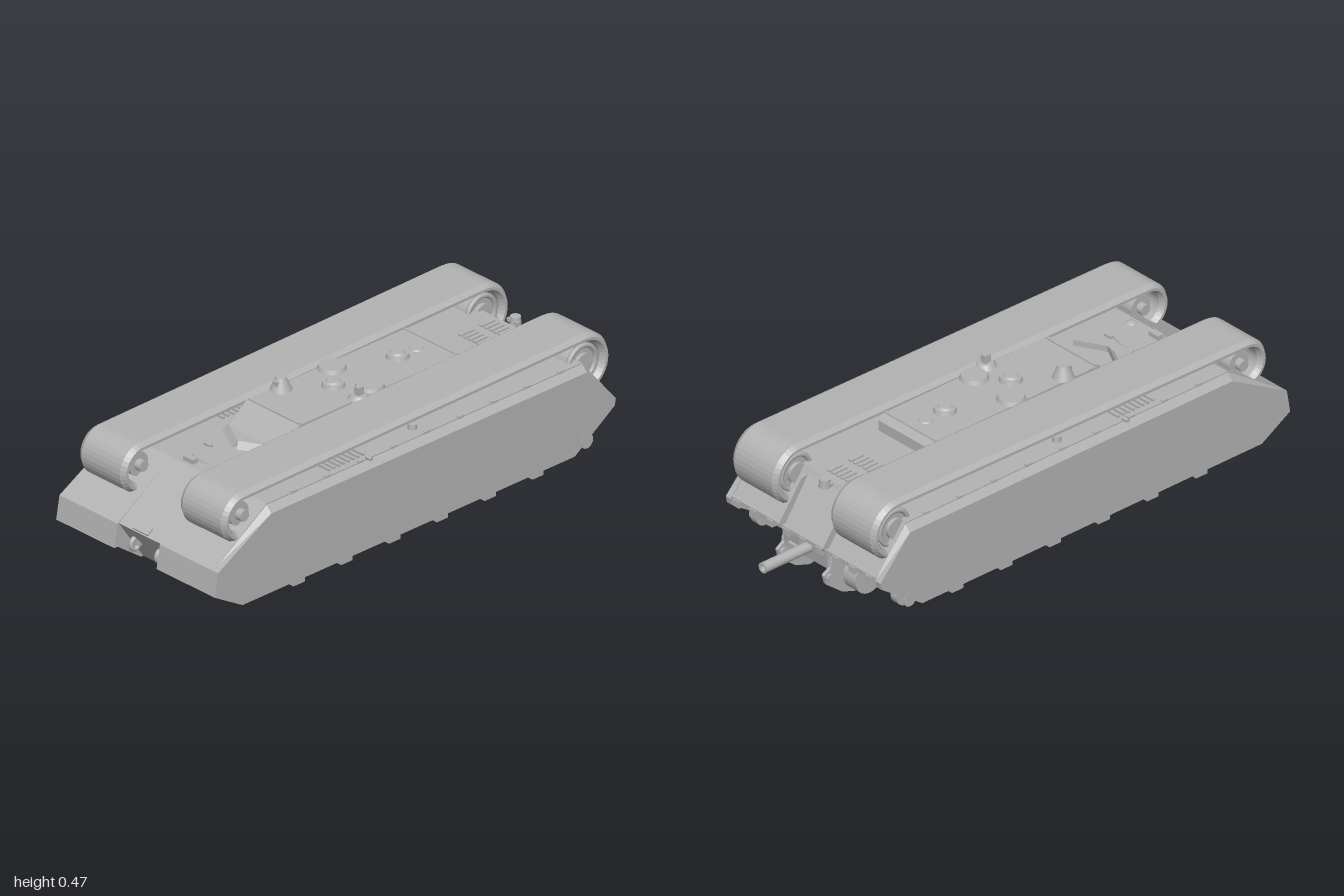
import * as THREE from 'three';

export function createModel() {
  const model = new THREE.Group();
  const grey = new THREE.MeshStandardMaterial({ color: 0xb2b2b2 });
  grey.name = 'primer grey';

  function add(geo, name, x = 0, y = 0, z = 0) {
    const m = new THREE.Mesh(geo, grey);
    m.name = name;
    m.position.set(x, y, z);
    model.add(m);
    return m;
  }
  const box = (name, w, h, d, x, y, z) => add(new THREE.BoxGeometry(w, h, d), name, x, y, z);
  const disc = (name, rTop, rBase, h, x, y, z, n = 28) =>
    add(new THREE.CylinderGeometry(rTop, rBase, h, n), name, x, y, z);
  const axle = (name, r, w, x, y, z, n = 32) =>
    add(new THREE.CylinderGeometry(r, r, w, n).rotateZ(Math.PI / 2), name, x, y, z);

  // Side profile given as [z, y] points, extruded across x from x0 to x1
  function prismGeo(profile, x0, x1) {
    const shape = new THREE.Shape(profile.map(([z, y]) => new THREE.Vector2(z, y)));
    return new THREE.ExtrudeGeometry(shape, { depth: x1 - x0, bevelEnabled: false })
      .rotateY(-Math.PI / 2).translate(x1, 0, 0);
  }
  const prism = (name, profile, x0, x1) => add(prismGeo(profile, x0, x1), name);
  const sided = (s, a, b) => (s > 0 ? [a, b] : [-b, -a]);

  // Central hull tub
  prism('centralHull', [[0.98, 0.2], [0.745, 0.36], [-0.675, 0.36], [-0.8, 0.19],
    [-0.79, 0.12], [-0.66, 0.04], [0.87, 0.04]], -0.105, 0.105);

  // Raised roof between the tracks, with sloped front
  prism('superstructure', [[0.46, 0.36], [0.38, 0.428], [-0.34, 0.428], [-0.36, 0.41],
    [-0.36, 0.36]], -0.125, 0.125);
  prism('engineDeck', [[-0.36, 0.355], [-0.36, 0.372], [-0.68, 0.368], [-0.69, 0.35]], -0.125, 0.125);
  box('roofSeam', 0.25, 0.006, 0.008, 0, 0.429, -0.33);
  box('roofFrontLip', 0.24, 0.006, 0.01, 0, 0.43, 0.375);

  for (const s of [1, -1]) {
    // Sponson above the track tunnel, including the nose overhang
    prism('sponson', [[1, 0.115], [0.985, 0.2], [0.745, 0.36], [-0.675, 0.36], [-0.8, 0.19],
      [-0.78, 0.165], [0.9, 0.19], [0.95, 0.115]], ...sided(s, 0.1, 0.352));

    // Armour skirt with a chamfered upper edge
    const skirt = prismGeo([[1, 0.115], [0.985, 0.2], [0.745, 0.358], [-0.675, 0.358],
      [-0.805, 0.19], [-0.8, 0.165], [-0.62, 0.042], [0.875, 0.042]], ...sided(s, 0.35, 0.375));
    const p = skirt.attributes.position;
    for (let i = 0; i < p.count; i++)
      if (Math.abs(p.getX(i)) > 0.37 && p.getY(i) > 0.3) p.setY(i, p.getY(i) - 0.025);
    skirt.computeVertexNormals();
    add(skirt, 'sideSkirt');
    axle('skirtPortCover', 0.027, 0.004, s * 0.374, 0.08, -0.675);

    // Exposed upper track run wrapping both end wheels
    const front = { z: 0.84, y: 0.34, r: 0.09 }, rear = { z: -0.7, y: 0.34, r: 0.11 };
    const t = 0.034;
    const path = (d) => {
      const pts = [];
      for (let i = 0; i <= 16; i++) {
        const a = -Math.PI / 2 + (Math.PI * i) / 16;
        pts.push([front.z + (front.r - d) * Math.cos(a), front.y + (front.r - d) * Math.sin(a)]);
      }
      for (let i = 0; i <= 20; i++) {
        const a = Math.PI / 2 + (Math.PI * 1.1 * i) / 20;
        pts.push([rear.z + (rear.r - d) * Math.cos(a), rear.y + (rear.r - d) * Math.sin(a)]);
      }
      return pts;
    };
    const beltShape = new THREE.Shape([...path(0), ...path(t).reverse()]
      .map(([z, y]) => new THREE.Vector2(z, y)));
    const belt = new THREE.ExtrudeGeometry(beltShape, {
      depth: 0.182, bevelEnabled: true, bevelSize: 0.012, bevelOffset: -0.012,
      bevelThickness: 0.018, bevelSegments: 1,
    }).rotateY(-Math.PI / 2).translate(0.091, 0, 0);
    add(belt, 'trackBelt', s * 0.238);

    // Drive sprocket and idler inside the belt
    axle('sprocketDrum', 0.066, 0.17, s * 0.238, rear.y, rear.z);
    axle('idlerDrum', 0.042, 0.15, s * 0.238, front.y, front.z - 0.01);
    for (const e of [-1, 1]) {
      const x = s * 0.238 + e * 0.085;
      add(new THREE.TorusGeometry(0.062, 0.009, 8, 32).rotateY(Math.PI / 2), 'sprocketRim', x, rear.y, rear.z);
      axle('sprocketHub', 0.036, 0.02, x + e * 0.004, rear.y, rear.z);
      axle('idlerHub', 0.02, 0.03, x, front.y, front.z - 0.01, 20);
    }

    // Suspension cross members under the sponson
    for (let i = 0; i < 6; i++) {
      const z = 0.615 - i * 0.215;
      box('suspensionBeam', 0.25, 0.022, 0.05, s * 0.23, 0.094, z);
      axle('suspensionTube', 0.013, 0.25, s * 0.23, 0.09, z + 0.03, 16);
      for (const x of [0.175, 0.31]) box('beamFin', 0.006, 0.07, 0.04, s * x, 0.054, z);
      const gusset = new THREE.Shape([[0.285, 0.045], [0.352, 0.07], [0.352, 0.03], [0.3, 0.036]]
        .map(([x, y]) => new THREE.Vector2(s * x, y)));
      add(new THREE.ExtrudeGeometry(gusset, { depth: 0.03, bevelEnabled: false }), 'beamGusset', 0, 0, z - 0.015);
      box('skirtFoot', 0.02, 0.03, 0.05, s * 0.36, 0.038, z);
    }
    box('noseStep', 0.03, 0.06, 0.06, s * 0.34, 0.08, 0.86);
    axle('noseCrossbar', 0.012, 0.23, s * 0.232, 0.095, 0.9, 16);

    // Final drive housing and its bracket at the rear
    axle('finalDrive', 0.062, 0.075, s * 0.143, 0.08, -0.675);
    axle('finalDriveCap', 0.04, 0.03, s * 0.34, 0.09, -0.675);
    prism('driveBracket', [[-0.57, 0.045], [-0.63, 0.008], [-0.68, 0], [-0.74, 0.02], [-0.81, 0.075],
      [-0.82, 0.11], [-0.79, 0.13], [-0.78, 0.18], [-0.57, 0.18]], ...sided(s, 0.106, 0.119));
    axle('bracketPin', 0.014, 0.03, s * 0.112, 0.098, -0.797, 16);
    prism('noseCheek', [[0.97, 0.19], [0.985, 0.115], [0.88, 0.04], [0.8, 0.04], [0.8, 0.19]],
      ...sided(s, 0.1, 0.108));

    // Tow hooks on the lower nose
    const hook = add(new THREE.TorusGeometry(0.018, 0.007, 10, 20).rotateY(Math.PI / 2), 'towHook', s * 0.06, 0.128, 0.945);
    hook.scale.set(1.3, 1.15, 1);
    box('towHookBase', 0.034, 0.036, 0.02, s * 0.06, 0.14, 0.932);

    // Rear ribs, side pegs and deck edge details
    prism('rearRib', [[-0.69, 0.35], [-0.72, 0.345], [-0.82, 0.21], [-0.8, 0.185]], ...sided(s, 0.102, 0.11));
    axle('sidePeg', 0.007, 0.025, s * 0.359, 0.365, 0.29, 12);
    for (let i = 0; i < 9; i++)
      box('deckLug', 0.012, 0.008, 0.025, s * 0.348, 0.36, 0.62 - i * 0.15);
    for (let i = 0; i < 8; i++)
      box('intakeSlat', 0.16, 0.008, 0.008, s * 0.25, 0.364, 0.44 - i * 0.022);
    disc('deckCap', 0.014, 0.016, 0.02, s * 0.3, 0.368, 0.04, 16);
  }

  // Roof hatches, periscope and ventilators
  for (const [x, z, r, h] of [[-0.09, 0.03, 0.05, 0.014], [0.09, 0.03, 0.05, 0.014],
    [0, 0.11, 0.04, 0.014], [0, -0.18, 0.04, 0.014], [0, -0.265, 0.025, 0.004]]) {
    disc('roofHatch', r * 0.88, r, h, x, 0.428 + h / 2, z);
    if (r === 0.04) disc('hatchDome', 0.02, 0.03, 0.008, x, 0.444, z);
  }
  disc('ventCone', 0.017, 0.038, 0.046, -0.1, 0.451, 0.25);
  box('ventConeWindow', 0.022, 0.026, 0.02, -0.1, 0.452, 0.268);
  disc('periscopeBase', 0.026, 0.038, 0.016, 0.122, 0.436, 0.11);
  box('periscope', 0.022, 0.03, 0.025, 0.122, 0.457, 0.11);

  // Front deck: splash guard, driver hatch and fittings
  for (const s of [1, -1]) {
    prism('splashGuard', [[0, 0], [0, 0.022], [0.012, 0.008], [0.02, 0]], -0.06, 0.06);
    const guard = model.children[model.children.length - 1];
    guard.position.set(s * 0.055, 0.36, 0.51);
    guard.rotation.y = s * 0.5;
    box('driverHatchHinge', 0.03, 0.012, 0.014, s * 0.07, 0.363, 0.605);
  }
  disc('driverHatch', 0.085, 0.088, 0.006, 0, 0.362, 0.65, 8).scale.z = 0.6;
  box('driverPeriscope', 0.045, 0.018, 0.025, -0.033, 0.367, 0.72);
  add(new THREE.SphereGeometry(0.022, 20, 8, 0, Math.PI * 2, 0, Math.PI / 2), 'deckDome', 0.088, 0.354, 0.72).scale.y = 0.6;
  const lip = box('glacisLip', 0.07, 0.008, 0.03, 0, 0.213, 0.965);
  lip.rotation.x = 0.58;

  // Engine deck louvres and rear fittings
  for (const z of [-0.625, -0.53])
    for (let i = -2; i <= 2; i++) box('engineLouvre', 0.014, 0.006, 0.06, i * 0.022, 0.373, z);
  disc('fillerCap', 0.018, 0.02, 0.03, 0, 0.37, -0.71, 16);
  box('fillerHinge', 0.05, 0.012, 0.014, 0, 0.368, -0.7);
  for (let i = -4; i <= 4; i++) box('rearLedgeTooth', 0.03, 0.024, 0.02, i * 0.08, 0.186, -0.8);
  box('rearLedge', 0.7, 0.014, 0.02, 0, 0.195, -0.795);
  box('rearTowBlock', 0.05, 0.05, 0.03, 0.05, 0.125, -0.79);

  // Hollow rear pipe
  const pipe = new THREE.LatheGeometry([[0.012, -0.15], [0.012, 0.1], [0.019, 0.1], [0.019, -0.15]]
    .reverse().map(([r, y]) => new THREE.Vector2(r, y)), 24);
  const tube = new THREE.Mesh(pipe.toNonIndexed(), new THREE.MeshStandardMaterial({ color: 0xb2b2b2, side: THREE.DoubleSide }));
  tube.material.name = 'primer grey two sided';
  tube.geometry.computeVertexNormals();
  tube.name = 'rearPipe';
  tube.rotation.x = -Math.PI / 2;
  tube.position.set(-0.018, 0.17, -0.9);
  model.add(tube);

  return model;
}
